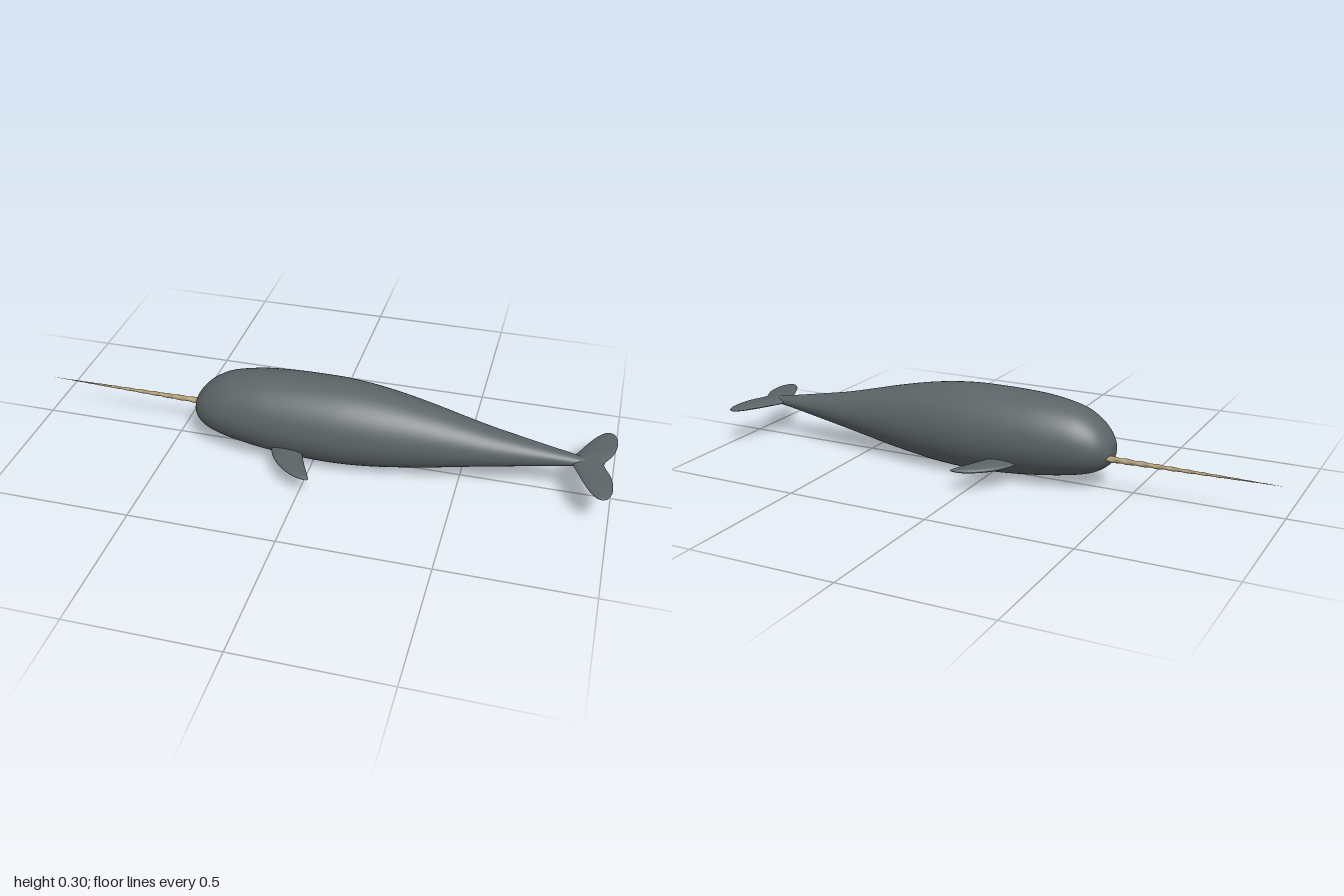
import * as THREE from 'three';

const skin = new THREE.MeshStandardMaterial({ color: 0x5c6467 });
skin.name = 'slateSkin';
const ivory = new THREE.MeshStandardMaterial({ color: 0xb09c74 });
ivory.name = 'ivory';

// Smoothly resample rows of four numbers
function resample(rows, count) {
  const curve = (i) => new THREE.CatmullRomCurve3(
    rows.map((r) => new THREE.Vector3(r[i], r[i + 1], 0)), false, 'catmullrom', 0.5);
  const a = curve(0), b = curve(2);
  return Array.from({ length: count + 1 }, (_, i) => {
    const p = a.getPoint(i / count), q = b.getPoint(i / count);
    return [p.x, p.y, q.x, q.y];
  });
}

// Skin over closed rings; point(row, angle) gives [x, y, z]
function loft(rows, sides, point) {
  const pos = [], index = [];
  rows.forEach((row, i) => {
    for (let j = 0; j < sides; j++) {
      pos.push(...point(row, (j / sides) * Math.PI * 2));
      if (i === rows.length - 1) continue;
      const a = i * sides + j, b = i * sides + ((j + 1) % sides);
      index.push(a, b, a + sides, b, b + sides, a + sides);
    }
  });
  const geo = new THREE.BufferGeometry();
  geo.setAttribute('position', new THREE.Float32BufferAttribute(pos, 3));
  geo.setIndex(index);
  geo.computeVertexNormals();
  return geo;
}

// Fin of lens-shaped sections: rows are [z, leading x, trailing x, half thickness]
function fin(rows, y) {
  return loft(rows, 24, ([z, x0, x1, t], a) => [
    (x0 + x1) / 2 + ((x1 - x0) / 2) * Math.cos(a), y + t * Math.sin(a), z]);
}

export function createModel() {
  const group = new THREE.Group();
  const add = (name, geo, mat) => {
    const mesh = new THREE.Mesh(geo, mat);
    mesh.name = name;
    group.add(mesh);
  };

  // Body: [x, top, bottom, half width]
  const body = [
    [-0.43, 0.135, 0.135, 0], [-0.425, 0.168, 0.1, 0.038], [-0.4, 0.207, 0.074, 0.072],
    [-0.36, 0.243, 0.053, 0.097], [-0.3, 0.272, 0.037, 0.117], [-0.2, 0.291, 0.021, 0.135],
    [-0.1, 0.298, 0.01, 0.143], [0, 0.3, 0.003, 0.145], [0.1, 0.298, 0.002, 0.143],
    [0.2, 0.288, 0.008, 0.134], [0.3, 0.271, 0.02, 0.12], [0.4, 0.249, 0.035, 0.103],
    [0.5, 0.224, 0.053, 0.085], [0.6, 0.2, 0.071, 0.068], [0.7, 0.181, 0.088, 0.051],
    [0.8, 0.163, 0.105, 0.034], [0.88, 0.149, 0.117, 0.021], [0.94, 0.138, 0.126, 0.01],
    [0.96, 0.132, 0.132, 0],
  ];
  add('body', loft(resample(body, 108), 56, ([x, top, bottom, w], a) => [
    x, (top + bottom) / 2 + ((top - bottom) / 2) * Math.cos(a), w * Math.sin(a)]), skin);

  // Pair of flippers swept backwards
  const flipper = resample([
    [0.1, -0.13, -0.03, 0.012], [0.135, -0.122, -0.014, 0.013], [0.17, -0.105, 0, 0.013],
    [0.2, -0.082, 0.014, 0.012], [0.225, -0.056, 0.026, 0.01], [0.245, -0.026, 0.035, 0.008],
    [0.257, 0.002, 0.039, 0.005], [0.263, 0.026, 0.036, 0.001], [0.264, 0.031, 0.031, 0],
  ], 32);
  add('leftFlipper', fin(flipper, 0.077), skin);
  add('rightFlipper', fin(flipper.map(([z, ...r]) => [-z, ...r]).reverse(), 0.077), skin);

  // Tail fluke, both lobes in one piece with a notch behind
  const lobe = [
    [0, 0.86, 0.964, 0.013], [0.025, 0.866, 0.972, 0.013], [0.06, 0.882, 0.989, 0.012],
    [0.1, 0.9, 0.998, 0.01], [0.14, 0.921, 1, 0.008], [0.165, 0.937, 0.995, 0.006],
    [0.183, 0.954, 0.985, 0.004], [0.19, 0.97, 0.97, 0],
  ];
  const mirrored = lobe.slice(1).reverse().map(([z, ...r]) => [-z, ...r]);
  add('tailFluke', fin(resample([...mirrored, ...lobe], 70), 0.131), skin);

  // Long tusk with a spiral groove, offset to one side
  const tusk = Array.from({ length: 121 }, (_, i) => i / 120);
  add('tusk', loft(tusk, 14, (t, a) => {
    const r = 0.0105 * t * (1 + 0.14 * Math.cos(2 * a - t * 75));
    return [-1 + 0.6 * t, 0.121 - 0.003 * t + r * Math.cos(a), -0.039 + 0.005 * t + r * Math.sin(a)];
  }), ivory);

  return group;
}
